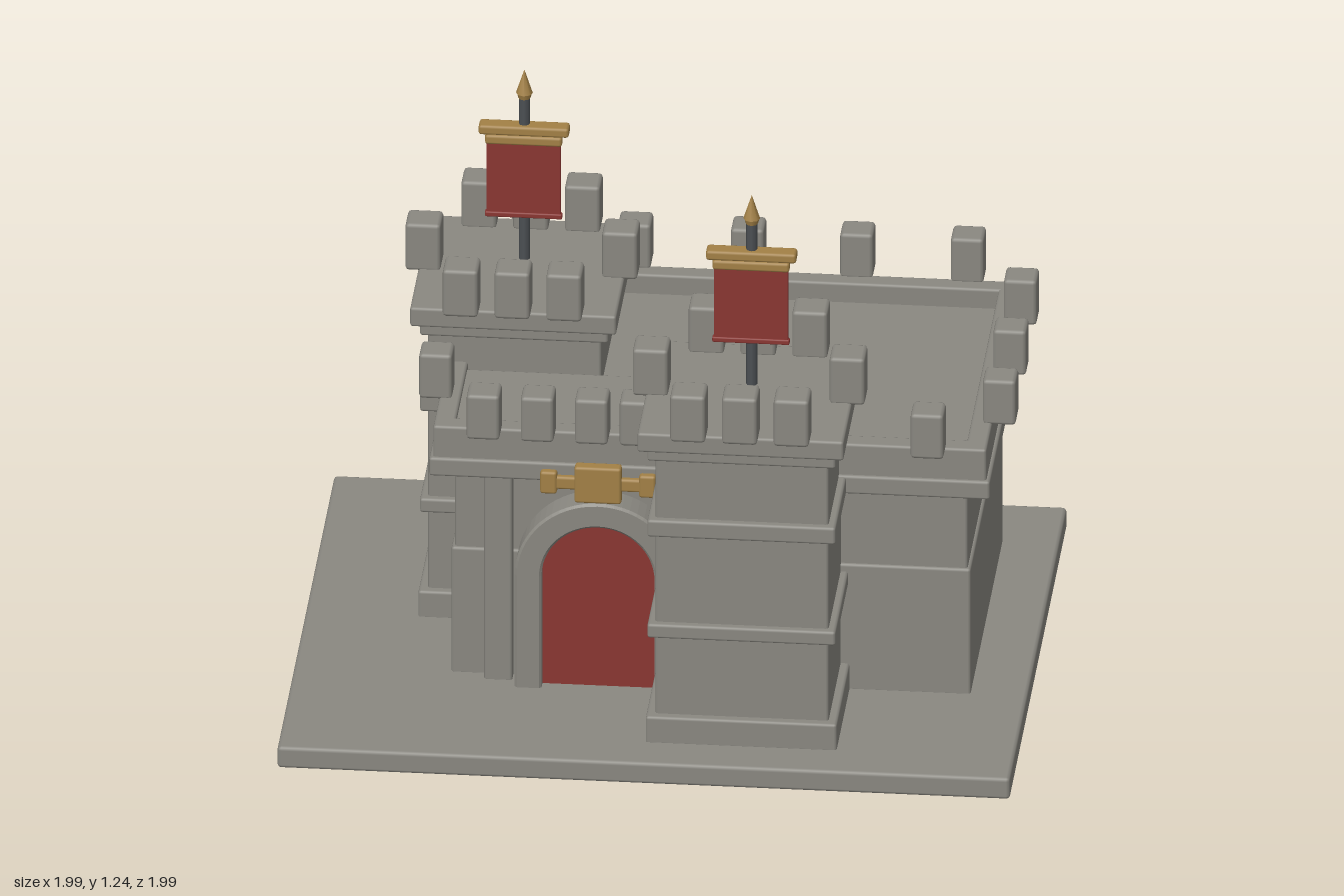
import * as THREE from 'three';
import { RoundedBoxGeometry } from 'three/addons/geometries/RoundedBoxGeometry.js';

const mat = (name, color) => {
  const m = new THREE.MeshStandardMaterial({ color });
  m.name = name;
  return m;
};

export function createModel() {
  const stone = mat('stone', 0x8a8881);
  const red = mat('red', 0x8a3632);
  const gold = mat('gold', 0xa38146);
  const iron = mat('iron', 0x4c5054);

  const root = new THREE.Group();
  root.name = 'castle';
  const castle = new THREE.Group();
  castle.name = 'turnedCastle';
  castle.rotation.y = Math.PI / 4; // the whole castle stands diagonally
  root.add(castle);

  const add = (parent, name, geo, material, x = 0, y = 0, z = 0) => {
    const m = new THREE.Mesh(geo, material);
    m.name = name;
    m.position.set(x, y, z);
    parent.add(m);
    return m;
  };
  // Softly bevelled block given by its extents
  const block = (parent, name, x0, x1, y0, y1, z0, z1, material = stone, r = 0.006) =>
    add(parent, name, new RoundedBoxGeometry(x1 - x0, y1 - y0, z1 - z0, 1, r), material,
      (x0 + x1) / 2, (y0 + y1) / 2, (z0 + z1) / 2);
  const merlon = (parent, x, y, z, h, s = 0.07) =>
    block(parent, 'merlon', x - s / 2, x + s / 2, y, y + h, z - s / 2, z + s / 2, stone, 0.008);

  // Ground slab
  block(castle, 'groundSlab', -0.778, 0.778, 0, 0.05, -0.636, 0.636, stone, 0.008);

  // Keep walls
  const keep = new THREE.Group();
  keep.name = 'keep';
  castle.add(keep);
  block(keep, 'lowerWall', -0.445, 0.658, 0.045, 0.345, -0.468, 0.25);
  block(keep, 'upperWall', -0.438, 0.651, 0.335, 0.6, -0.461, 0.243);
  block(keep, 'cornice', -0.488, 0.703, 0.535, 0.578, -0.508, 0.296);

  // Parapet ring around the roof
  const [px0, px1, pz0, pz1, pt] = [-0.48, 0.695, -0.5, 0.288, 0.045];
  block(keep, 'parapetBack', px0, px1, 0.57, 0.65, pz0, pz0 + pt);
  block(keep, 'parapetFront', px0, px1, 0.57, 0.65, pz1 - pt, pz1);
  block(keep, 'parapetLeft', px1 - pt, px1, 0.57, 0.65, pz0, pz1);
  block(keep, 'parapetRight', px0, px0 + pt, 0.57, 0.65, pz0, pz1);
  block(keep, 'roof', -0.45, 0.66, 0.57, 0.605, -0.47, 0.26);
  block(keep, 'gatehouseRoof', -0.44, 0.17, 0.58, 0.64, -0.005, 0.26);

  // Merlons on the keep
  for (const x of [-0.354, -0.127, 0.113, 0.345, 0.58]) merlon(keep, x, 0.645, -0.522, 0.105);
  for (const z of [-0.34, -0.106, 0.127]) merlon(keep, 0.71, 0.645, z, 0.105);
  for (const z of [-0.417, 0.12]) merlon(keep, -0.488, 0.645, z, 0.105);
  for (const x of [-0.37, -0.255, -0.14, -0.045, 0.573]) merlon(keep, x, 0.645, 0.3, 0.105);

  // Gate: pilaster, arch, door and ornament
  const gate = new THREE.Group();
  gate.name = 'gate';
  gate.position.x = -0.128;
  castle.add(gate);
  block(gate, 'pilaster', -0.245, -0.185, 0.045, 0.55, 0.22, 0.278);
  const archOutline = (r, Shape) => {
    const s = new Shape();
    s.moveTo(-r, 0.045);
    s.lineTo(r, 0.045);
    s.lineTo(r, 0.315);
    s.absarc(0, 0.315, r, 0, Math.PI, false);
    s.lineTo(-r, 0.045);
    return s;
  };
  const archShape = archOutline(0.172, THREE.Shape);
  archShape.holes.push(archOutline(0.125, THREE.Path));
  add(gate, 'arch', new THREE.ExtrudeGeometry(archShape, {
    depth: 0.07, bevelEnabled: true, bevelSize: 0.005, bevelThickness: 0.005,
    bevelSegments: 1, curveSegments: 16,
  }), stone, 0, 0, 0.235);
  add(gate, 'door', new THREE.ExtrudeGeometry(archOutline(0.126, THREE.Shape), {
    depth: 0.05, bevelEnabled: false, curveSegments: 16,
  }), red, 0, 0, 0.235);
  block(gate, 'ornamentPlate', -0.05, 0.05, 0.495, 0.58, 0.285, 0.315, gold);
  block(gate, 'ornamentBar', -0.105, 0.105, 0.522, 0.552, 0.285, 0.308, gold);
  for (const s of [-1, 1])
    block(gate, 'ornamentEnd', s * 0.105 - 0.018, s * 0.105 + 0.018, 0.512, 0.564, 0.285, 0.312, gold);

  // Banner on its pole
  const addBanner = (parent) => {
    const b = new THREE.Group();
    b.name = 'banner';
    b.position.z = -0.036;
    parent.add(b);
    add(b, 'pole', new THREE.CylinderGeometry(0.012, 0.012, 0.4, 8), iron, 0, 0.98, 0);
    add(b, 'poleCollar', new THREE.CylinderGeometry(0.017, 0.013, 0.015, 8), gold, 0, 1.178, 0);
    add(b, 'spearTip', new THREE.ConeGeometry(0.018, 0.055, 8), gold, 0, 1.21, 0);
    block(b, 'crossbar', -0.096, 0.096, 1.088, 1.11, -0.016, 0.022, gold);
    block(b, 'clothRail', -0.082, 0.082, 1.068, 1.09, 0.004, 0.026, gold);
    block(b, 'cloth', -0.079, 0.079, 0.905, 1.072, 0.011, 0.021, red, 0.002);
    block(b, 'clothHem', -0.082, 0.082, 0.896, 0.908, 0.008, 0.024, red, 0.003);
  };

  // Square towers
  const addTower = (name, x, z) => {
    const t = new THREE.Group();
    t.name = name;
    t.position.set(x, 0, z);
    castle.add(t);
    const tier = (n, h, y0, y1) => block(t, n, -h, h, y0, y1, -h, h);
    tier('plinth', 0.203, 0.045, 0.11);
    tier('body', 0.184, 0.1, 0.75);
    tier('middleBand', 0.2, 0.295, 0.328);
    tier('upperBand', 0.2, 0.535, 0.575);
    tier('lowerCornice', 0.2, 0.715, 0.75);
    tier('topCornice', 0.219, 0.745, 0.79);
    for (const s of [-1, 1]) {
      for (const mx of [-0.11, 0, 0.11]) merlon(t, mx, 0.785, s * 0.207, 0.11, 0.075);
      merlon(t, s * 0.209, 0.785, 0, 0.11, 0.075);
    }
    addBanner(t);
  };
  addTower('rearTower', -0.336, -0.2);
  addTower('frontTower', 0.198, 0.335);

  return root;
}
